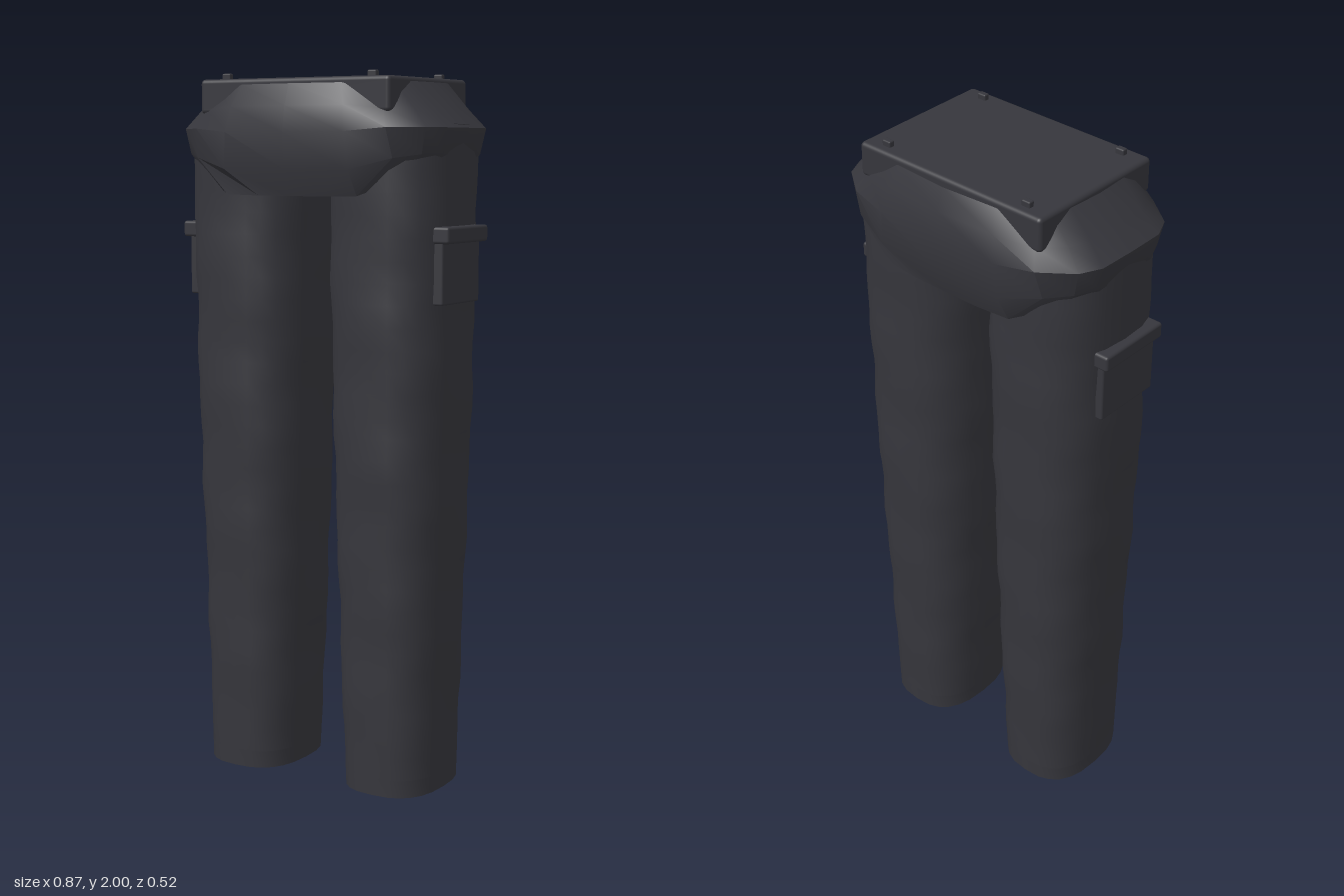
import * as THREE from 'three';
import { toCreasedNormals } from 'three/addons/utils/BufferGeometryUtils.js';
import { RoundedBoxGeometry } from 'three/addons/geometries/RoundedBoxGeometry.js';

const cloth = new THREE.MeshStandardMaterial({ color: 0x36363c, side: THREE.DoubleSide });
cloth.name = 'charcoal cloth';

// Skin through rings of [x, y, z] points, listed bottom to top, each counter-clockwise from above
function loft(rings) {
  const n = rings[0].length, index = [];
  for (let i = 0; i < rings.length - 1; i++) {
    for (let j = 0; j < n; j++) {
      const a = i * n + j, b = i * n + (j + 1) % n;
      index.push(a, b, a + n, b, b + n, a + n);
    }
  }
  const g = new THREE.BufferGeometry();
  g.setAttribute('position', new THREE.Float32BufferAttribute(rings.flat(2), 3));
  g.setIndex(index);
  g.computeVertexNormals();
  return g;
}

function add(parent, name, geometry, x = 0, y = 0, z = 0) {
  const mesh = new THREE.Mesh(geometry, cloth);
  mesh.name = name;
  mesh.position.set(x, y, z);
  parent.add(mesh);
  return mesh;
}

// Leg outline by height: y, inner x, outer x, front z, back z
const LEG = [
  [0, 0.095, 0.372, 0.175, -0.165],
  [0.3, 0.082, 0.378, 0.182, -0.175],
  [0.6, 0.072, 0.386, 0.188, -0.185],
  [0.9, 0.062, 0.396, 0.198, -0.194],
  [1.2, 0.055, 0.404, 0.202, -0.198],
  [1.5, 0.048, 0.408, 0.206, -0.203],
  [1.86, 0.05, 0.412, 0.208, -0.205],
];

function legRing(y, side, wrinkle) {
  let k = 0;
  while (k < LEG.length - 2 && y > LEG[k + 1][0]) k++;
  const t = (y - LEG[k][0]) / (LEG[k + 1][0] - LEG[k][0]);
  const [, xin, xout, zf, zb] = LEG[k].map((v, i) => THREE.MathUtils.lerp(v, LEG[k + 1][i], t));
  const ring = [];
  for (let j = 0; j < 24; j++) {
    const a = (j / 24) * Math.PI * 2, c = Math.cos(a), s = Math.sin(a);
    const round = (v) => Math.sign(v) * Math.pow(Math.abs(v), 0.76);
    const fold = 1 + wrinkle * (Math.sin(y * 17 + a * 2 + side) + Math.sin(y * 31 - a * 3)) * 0.011;
    ring.push([
      side * (xin + xout) / 2 + round(c) * fold * (xout - xin) / 2,
      y,
      (zf + zb) / 2 - round(s) * fold * (zf - zb) / 2,
    ]);
  }
  return ring;
}

// Full ring from a quarter outline running from the side to the front centre
function fourfold(quarter) {
  const back = quarter.map(([x, y, z]) => [x, y, -z]);
  const mirror = (list) => list.map(([x, y, z]) => [-x, y, z]).reverse();
  const half = [...back, ...mirror(back).slice(1)];
  const other = half.map(([x, y, z]) => [-x, y, -z]);
  return [...half.slice(0, -1), ...other.slice(0, -1)];
}

export function createModel() {
  const model = new THREE.Group();
  model.name = 'trousers';

  for (const side of [1, -1]) {
    const leg = new THREE.Group();
    leg.name = side > 0 ? 'leftLeg' : 'rightLeg';
    model.add(leg);

    // Creased trouser leg
    const rings = [];
    for (let i = 0; i <= 30; i++) {
      const y = 0.05 + (i / 30) * 1.81;
      rings.push(legRing(y, side, Math.min(1, i / 3) * (y > 1.7 ? 0.3 : 1)));
    }
    add(leg, 'legCloth', loft(rings));

    // Hem and closed sole
    add(leg, 'hem', loft([legRing(0, side, 0), legRing(0.05, side, 0)]));
    const sole = new THREE.Shape(legRing(0, side, 0).map(([x, , z]) => new THREE.Vector2(x, z)));
    add(leg, 'hemBottom', new THREE.ShapeGeometry(sole).rotateX(Math.PI / 2));

    // Cargo pocket with flap
    add(leg, 'pocket', new RoundedBoxGeometry(0.05, 0.19, 0.21, 2, 0.006), side * 0.391, 1.475, 0.015);
    add(leg, 'pocketFlap', new RoundedBoxGeometry(0.06, 0.045, 0.228, 2, 0.008), side * 0.406, 1.567, 0.012);
  }

  // Bulging hip band, its lower edge rising into the legs at the sides
  const hips = loft([
    [[0.36, 1.72, 0], [0.36, 1.72, 0.09], [0.33, 1.72, 0.15], [0.21, 1.67, 0.222], [0.1, 1.668, 0.23], [0, 1.668, 0.23]],
    [[0.405, 1.78, 0], [0.405, 1.78, 0.1], [0.375, 1.78, 0.165], [0.315, 1.77, 0.215], [0.2, 1.74, 0.252], [0, 1.74, 0.255]],
    [[0.42, 1.85, 0], [0.418, 1.85, 0.11], [0.39, 1.85, 0.17], [0.305, 1.85, 0.235], [0.19, 1.84, 0.26], [0, 1.84, 0.262]],
    [[0.375, 1.9, 0], [0.37, 1.9, 0.1], [0.345, 1.9, 0.155], [0.285, 1.9, 0.21], [0.18, 1.91, 0.245], [0, 1.91, 0.25]],
    [[0.312, 1.972, 0], [0.306, 1.972, 0.1], [0.29, 1.96, 0.15], [0.255, 1.945, 0.19], [0.16, 1.968, 0.218], [0, 1.968, 0.228]],
  ].map(fourfold));
  add(model, 'hipBand', toCreasedNormals(hips, 0.6));

  // Waist block
  add(model, 'waist', new RoundedBoxGeometry(0.61, 0.095, 0.43, 3, 0.012), 0, 1.937, 0);

  // Studs on the waist corners
  for (const x of [-0.235, 0.235]) {
    for (const z of [-0.18, 0.18]) {
      add(model, 'waistStud', new RoundedBoxGeometry(0.027, 0.03, 0.018, 2, 0.004), x, 1.985, z);
    }
  }
  return model;
}
